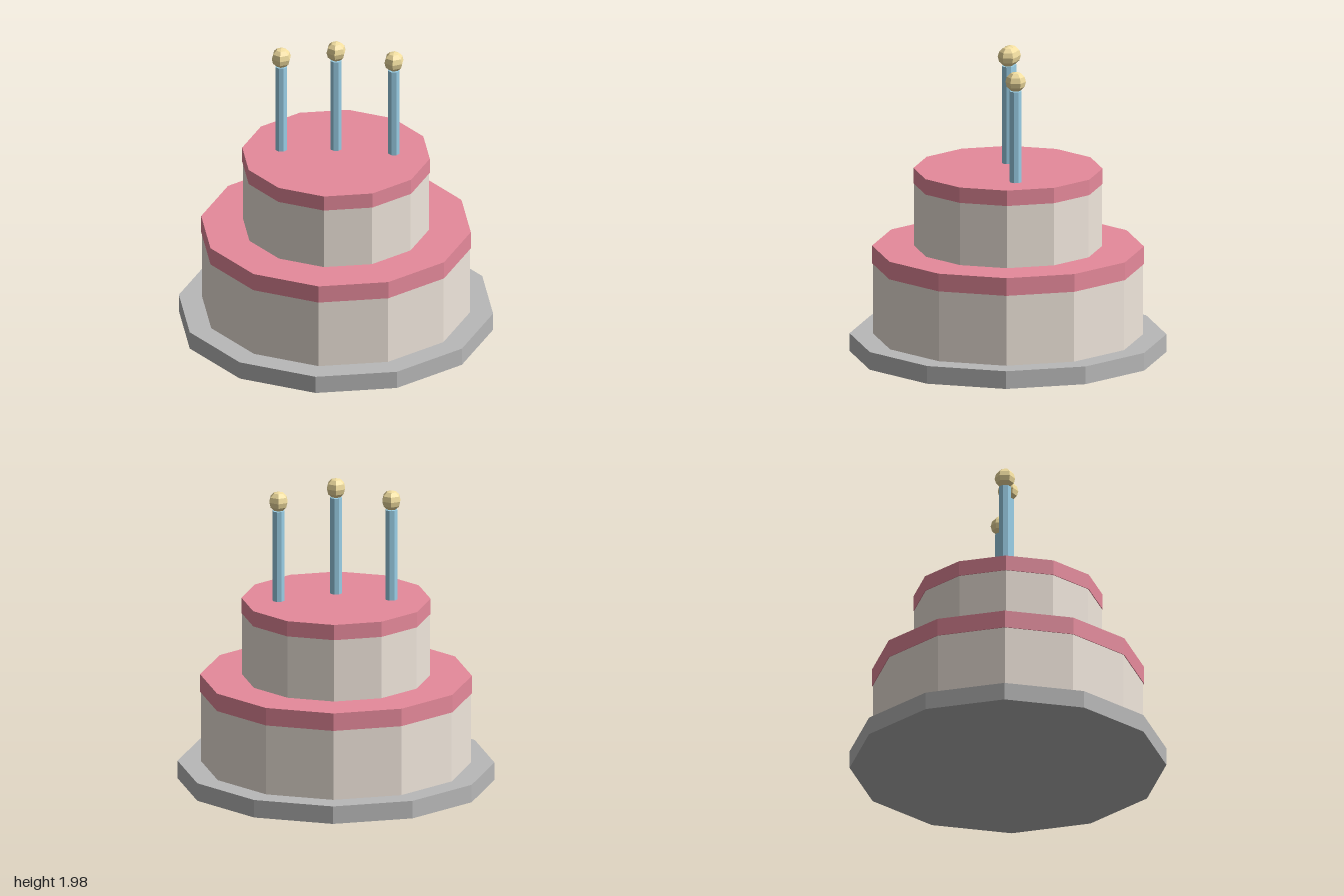
import * as THREE from 'three';

const mat = (color) => new THREE.MeshStandardMaterial({ color, flatShading: true });

export function createModel() {
  const cake = new THREE.Group();
  cake.name = 'cake';
  const sponge = mat(0xf0e6dc), icing = mat(0xe68a9b), board = mat(0xb8b8b8);
  const wax = mat(0x9bd0e8), glow = mat(0xf2dea0);

  // Upright cylinder between two heights
  function drum(name, radius, y0, y1, sides, material, parent = cake) {
    const mesh = new THREE.Mesh(new THREE.CylinderGeometry(radius, radius, y1 - y0, sides), material);
    mesh.name = name;
    mesh.position.y = (y0 + y1) / 2;
    parent.add(mesh);
  }

  // Board and two iced tiers
  drum('cakeBoard', 1, 0, 0.115, 12, board);
  drum('lowerTier', 0.853, 0.115, 0.57, 12, sponge);
  drum('lowerIcing', 0.858, 0.57, 0.685, 12, icing);
  drum('upperTier', 0.592, 0.685, 1.09, 12, sponge);
  drum('upperIcing', 0.597, 1.09, 1.19, 12, icing);

  // Candles: x, z and base height; the middle one sits higher
  const candles = [['right', -0.297, -0.185, 1.15], ['middle', 0, 0, 1.225], ['left', 0.34, 0.135, 1.15]];
  for (const [side, x, z, y] of candles) {
    const candle = new THREE.Group();
    candle.name = side + 'Candle';
    candle.position.set(x, y, z);
    drum('candleStick', 0.039, 0, 0.63, 8, wax, candle);
    const flame = new THREE.Mesh(new THREE.SphereGeometry(0.065, 6, 6), glow);
    flame.name = 'flame';
    flame.position.y = 0.69;
    candle.add(flame);
    cake.add(candle);
  }
  return cake;
}
